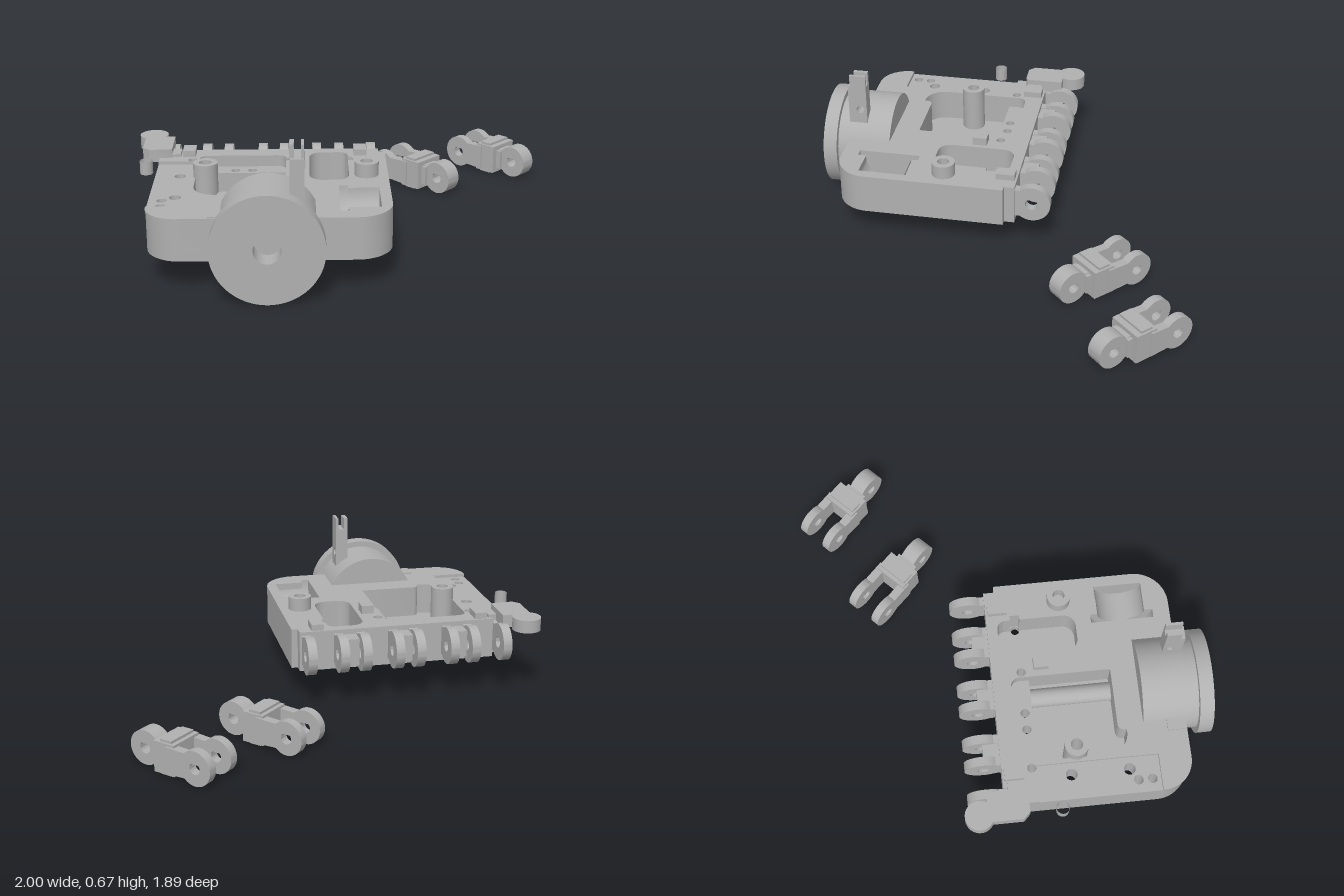
import * as THREE from 'three';
import { toCreasedNormals } from 'three/addons/utils/BufferGeometryUtils.js';

const grey = new THREE.MeshStandardMaterial({ color: 0xb0b0b0, side: THREE.DoubleSide });
grey.name = 'grey plastic';

function add(parent, name, geometry, x = 0, y = 0, z = 0) {
  const mesh = new THREE.Mesh(toCreasedNormals(geometry, 0.6), grey);
  mesh.name = name;
  mesh.position.set(x, y, z);
  parent.add(mesh);
  return mesh;
}

// Box given by its limits on each axis
function box(parent, name, x0, x1, y0, y1, z0, z1) {
  return add(parent, name, new THREE.BoxGeometry(x1 - x0, y1 - y0, z1 - z0),
    (x0 + x1) / 2, (y0 + y1) / 2, (z0 + z1) / 2);
}

// Plan outline from [x, z, cornerRadius] points
function outline(points, Type = THREE.Path) {
  const path = new Type();
  const n = points.length;
  points.forEach(([x, z, r = 0], i) => {
    const p = new THREE.Vector2(x, -z);
    const toward = ([a, b]) => new THREE.Vector2(a, -b).sub(p).setLength(r).add(p);
    const a = r ? toward(points[(i + n - 1) % n]) : p;
    const b = r ? toward(points[(i + 1) % n]) : p;
    if (i) path.lineTo(a.x, a.y); else path.moveTo(a.x, a.y);
    if (r) {
      const k = 0.55;
      const c = a.clone().lerp(p, k), d = b.clone().lerp(p, k);
      path.bezierCurveTo(c.x, c.y, d.x, d.y, b.x, b.y);
    }
  });
  path.closePath();
  return path;
}
const rect = (x0, x1, z0, z1, r = 0, Type = THREE.Path) =>
  outline([[x0, z0, r], [x0, z1, r], [x1, z1, r], [x1, z0, r]], Type);
const circle = (x, z, r, Type = THREE.Path) => new Type().absarc(x, -z, r, 0, Math.PI * 2);

// Horizontal plate between two heights
function plate(parent, name, shape, holes, y0, y1) {
  shape.holes = holes;
  const g = new THREE.ExtrudeGeometry(shape, { depth: y1 - y0, bevelEnabled: false, curveSegments: 16 });
  return add(parent, name, g.rotateX(-Math.PI / 2), 0, y0, 0);
}

// Round-ended hinge lug, its eye at the origin and its root at -length
function lugGeometry(r, length, half, thick, eye) {
  const s = new THREE.Shape();
  const a = Math.PI - Math.asin(half / r) * 0.9;
  s.moveTo(-length, -half);
  s.lineTo(r * Math.cos(a), -r * Math.sin(a));
  s.absarc(0, 0, r, -a, a, false);
  s.lineTo(-length, half);
  const h = new THREE.Path();
  h.moveTo(0, eye * 1.4);
  h.absarc(0, 0, eye, Math.PI * 0.75, Math.PI * 2.25, false);
  s.holes.push(h);
  return new THREE.ExtrudeGeometry(s, { depth: thick, bevelEnabled: false, curveSegments: 24 })
    .translate(0, 0, -thick / 2);
}

function buildPalm() {
  const palm = new THREE.Group();
  palm.name = 'palm';
  const body = () => outline([[-0.81, -0.07], [-0.81, -0.02], [-0.89, -0.02], [-0.89, 0.81, 0.16],
    [0.18, 0.81, 0.16], [0.18, -0.02], [0.15, -0.02], [0.15, -0.07]], THREE.Shape);
  const notched = outline([[-0.81, -0.07], [-0.81, -0.02], [-0.89, -0.02], [-0.89, 0.09], [-0.72, 0.09],
    [-0.72, 0.66], [-0.89, 0.66], [-0.89, 0.81, 0.14], [0.18, 0.81, 0.16], [0.18, -0.02],
    [0.15, -0.02], [0.15, -0.07]], THREE.Shape);
  const pinX = [-0.73, -0.53, -0.45, -0.265, -0.19, 0];
  const pins = () => pinX.map((x) => circle(x, 0.07, 0.021));
  const bolts = () => [[-0.775, 0.25, 0.027], [-0.775, 0.52, 0.027], [-0.83, 0.555, 0.022], [-0.83, 0.62, 0.022]]
    .map((b) => circle(...b));
  const mainPocket = () => outline([[-0.70, 0.015, 0.04], [-0.70, 0.53, 0.1], [-0.59, 0.53],
    [-0.59, 0.49, 0.03], [-0.29, 0.49], [-0.29, 0.015, 0.04]]);
  const sidePocket = () => rect(-0.18, 0, -0.02, 0.355, 0.06);
  const thumbSlot = () => outline([[-0.05, 0.43], [-0.05, 0.73], [-0.01, 0.73], [-0.01, 0.69],
    [0.13, 0.69], [0.13, 0.46], [-0.01, 0.46], [-0.01, 0.43]]);
  const upperPins = () => [-0.73, -0.265, -0.19].map((x) => circle(x, 0.07, 0.021));
  const pockets = () => [mainPocket(), sidePocket(), thumbSlot()];
  // The pin at x = 0 cuts the pocket edge, so the side pocket keeps a clear corner for it
  const notchPocket = () => outline([[-0.18, -0.02, 0.06], [-0.18, 0.355, 0.06], [0, 0.355, 0.06],
    [0, 0.09], [0.022, 0.09], [0.022, 0.045], [0, 0.045], [0, -0.02, 0.04]]);
  const cavities = () => [pockets()[0], notchPocket(), pockets()[2]];
  const cleanPins = () => upperPins().filter((_, i) => i !== 2);

  // Floor, walls and rim; the rim leaves a shallow mounting recess on one side
  const smallBolts = bolts().slice(2);
  plate(palm, 'palmFloor', body(), [...pins(), ...smallBolts,
    rect(-0.83, -0.72, 0.215, 0.285), rect(-0.80, -0.72, 0.485, 0.555)], 0.15, 0.19);
  plate(palm, 'palmWalls', body(), [...cleanPins(), ...bolts(), ...cavities()], 0.19, 0.33);
  plate(palm, 'palmRim', notched, [...cleanPins(), ...cavities()], 0.33, 0.345);

  // Cable guides inside the main pocket
  plate(palm, 'cableGuide', rect(-0.70, -0.29, 0.015, 0.105, 0, THREE.Shape),
    [circle(-0.53, 0.07, 0.021), circle(-0.45, 0.07, 0.021)], 0.19, 0.29);
  add(palm, 'cableTube', new THREE.CylinderGeometry(0.045, 0.045, 0.39, 20).rotateX(Math.PI / 2), -0.355, 0.2, 0.298);
  box(palm, 'cableStop', -0.26, -0.2, 0.34, 0.385, 0.13, 0.2);
  for (const x of [-0.76, 0.05])
    box(palm, 'guideBlock', x - 0.02, x + 0.04, 0.34, 0.375, -0.06, 0.03);

  // Concave thumb seat: half cylinders with an annular step
  for (const [r, x0, x1] of [[0.15, -0.05, -0.01], [0.115, -0.01, 0.13]]) {
    const g = new THREE.CylinderGeometry(r, r, x1 - x0, 28, 1, true, Math.PI / 2, Math.PI);
    g.rotateZ(Math.PI / 2);
    // Turn the half shell so that it opens upward
    g.computeBoundingBox();
    const { min, max } = g.boundingBox;
    if (max.y > 0.01) g.rotateX(min.z < -0.01 && max.z > 0.01 ? Math.PI : max.z > 0.01 ? Math.PI / 2 : -Math.PI / 2);
    add(palm, 'thumbSeat', g, (x0 + x1) / 2, 0.345, 0.58);
  }
  add(palm, 'thumbSeatStep', new THREE.RingGeometry(0.115, 0.15, 28, 1, Math.PI, Math.PI).rotateY(-Math.PI / 2), -0.01, 0.345, 0.58);

  // Screw standoffs
  for (const x of [-0.655, 0.08])
    plate(palm, 'standoff', circle(x, 0.285, 0.056, THREE.Shape), [circle(x, 0.285, 0.028)], x < 0 ? 0.19 : 0.34, 0.41);

  // Side ear with an eye
  const ear = new THREE.Shape();
  ear.moveTo(-0.83, 0.04);
  ear.lineTo(-0.83, -0.03);
  ear.lineTo(-0.85, -0.04);
  ear.lineTo(-0.94, -0.04);
  ear.lineTo(-0.97, -0.01);
  ear.lineTo(-0.97, 0.13);
  ear.absarc(-0.935, 0.19, 0.068, Math.PI * 1.33, -0.6, true);
  ear.lineTo(-0.83, 0.15);
  plate(palm, 'ear', ear, [circle(-0.935, 0.19, 0.03)], 0.325, 0.387);
  box(palm, 'earBridge', -0.84, -0.79, 0.3, 0.36, -0.05, 0.03);
  return palm;
}

function buildKnuckles() {
  const knuckles = new THREE.Group();
  knuckles.name = 'knuckles';
  for (const x of [-0.83, -0.675, -0.57, -0.405, -0.303, -0.145, -0.037, 0.118]) {
    const lug = add(knuckles, 'knuckleLug', lugGeometry(0.09, 0.11, 0.075, 0.043, 0.03), x, 0.255, -0.15);
    lug.rotation.y = Math.PI / 2;
  }
  // Webs joining neighbouring lugs
  for (const x of [-0.622, -0.354, -0.091])
    box(knuckles, 'knuckleWeb', x - 0.035, x + 0.035, 0.19, 0.32, -0.148, -0.06);
  return knuckles;
}

function buildWheel() {
  const wheel = new THREE.Group();
  wheel.name = 'wheel';
  // Drum, flange and blind bore turned about the z axis
  const profile = [[0, 0.61], [0.226, 0.61], [0.226, 0.82], [0.219, 0.82], [0.219, 0.873],
    [0.247, 0.873], [0.247, 0.94], [0.06, 0.94], [0.06, 0.84], [0, 0.84]];
  add(wheel, 'drum', new THREE.LatheGeometry(profile.map((p) => new THREE.Vector2(...p)), 64)
    .rotateX(Math.PI / 2), -0.36, 0.25, 0);

  // Upright post with a cross hole and a split tip
  const post = new THREE.Shape([[-0.82, 0.38], [-0.73, 0.38], [-0.73, 0.61], [-0.82, 0.61]].map((p) => new THREE.Vector2(...p)));
  post.holes.push(new THREE.Path().absarc(-0.762, 0.485, 0.02, 0, Math.PI * 2));
  add(wheel, 'post', new THREE.ExtrudeGeometry(post, { depth: 0.062, bevelEnabled: false })
    .rotateY(Math.PI / 2), -0.264, 0, 0);
  box(wheel, 'postTip', -0.264, -0.245, 0.61, 0.67, 0.73, 0.80);
  box(wheel, 'postTip', -0.215, -0.202, 0.61, 0.67, 0.73, 0.81);
  box(wheel, 'sideStop', -0.615, -0.56, 0.3, 0.352, 0.72, 0.805);
  return wheel;
}

function buildFinger(name, x, z, length) {
  const finger = new THREE.Group();
  finger.name = name;
  const r = 0.08;
  // Single lug at one end, forked lugs at the other
  const single = add(finger, 'singleLug', lugGeometry(r, 0.15, 0.055, 0.08, 0.027), r, 0.083, 0);
  single.rotation.y = Math.PI;
  for (const side of [-1, 1])
    add(finger, 'forkLug', lugGeometry(r, length - r - 0.24, 0.062, 0.042, 0.027), length - r, 0.083, side * 0.073);
  // Chunky middle with a raised band
  box(finger, 'middle', 0.165, 0.275, 0.012, 0.155, -0.085, 0.085);
  box(finger, 'band', 0.195, 0.255, 0.004, 0.167, -0.075, 0.075);
  for (const side of [-1, 1])
    box(finger, 'cableRail', 0.14, 0.17, 0.035, 0.13, side * 0.045 - 0.012, side * 0.045 + 0.012);
  finger.position.set(x, 0, z);
  finger.rotation.y = Math.PI * 0.75;
  return finger;
}

export function createModel() {
  const model = new THREE.Group();
  model.name = 'mechanicalHand';
  model.add(buildPalm(), buildKnuckles(), buildWheel(),
    buildFinger('fingerA', 0.55, -0.325, 0.485),
    buildFinger('fingerB', 0.965, -0.555, 0.47));
  return model;
}
